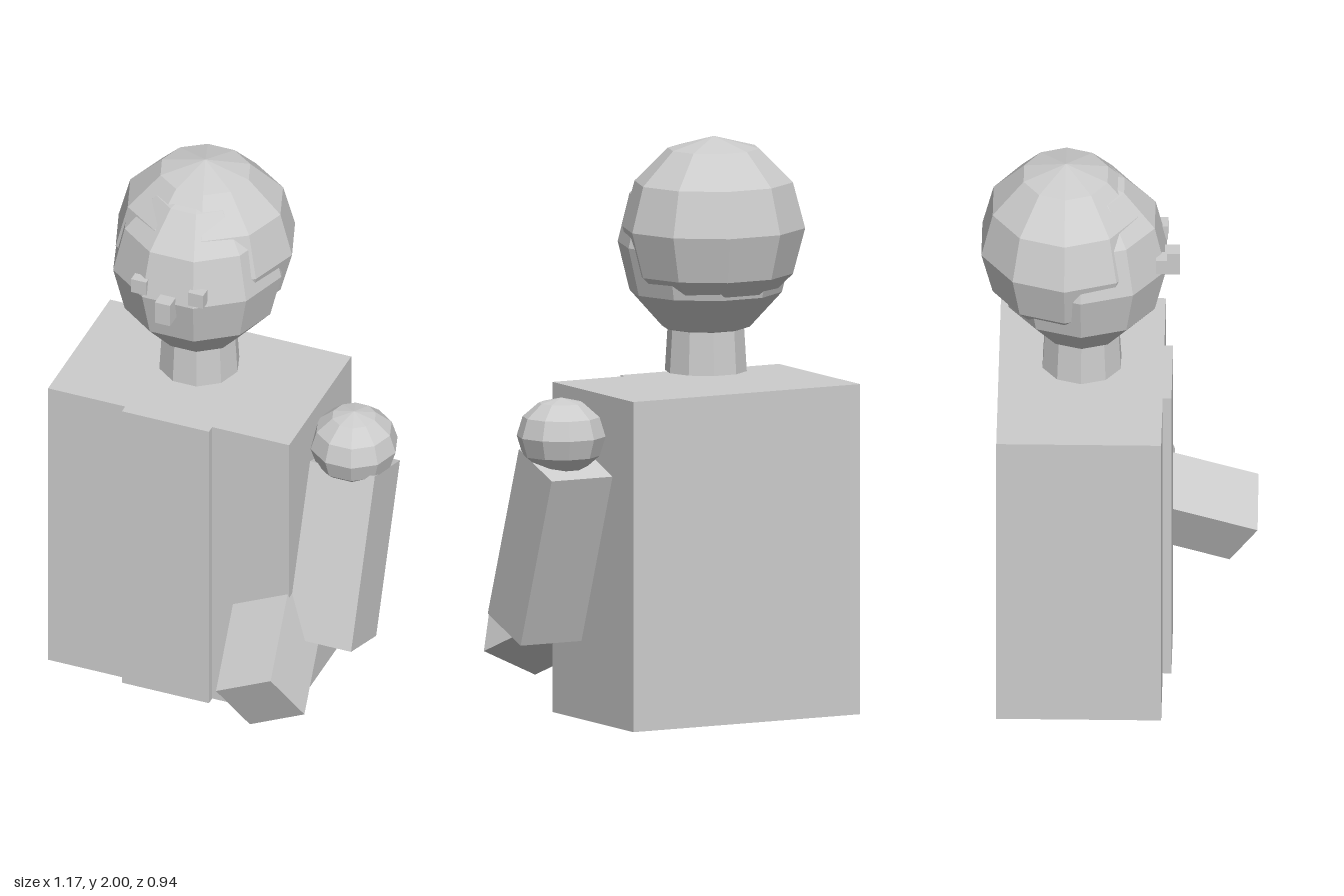
import * as THREE from 'three';

export function createModel() {
  const model = new THREE.Group();
  const grey = new THREE.MeshStandardMaterial({ color: 0xcccccc });
  grey.name = 'plain grey';

  const add = (name, geometry, x = 0, y = 0, z = 0) => {
    // separate corners give every facet its own flat normal
    const flat = geometry.index ? geometry.toNonIndexed() : geometry;
    flat.computeVertexNormals();
    const mesh = new THREE.Mesh(flat, grey);
    mesh.name = name;
    mesh.position.set(x, y, z);
    model.add(mesh);
    return mesh;
  };
  const box = (name, [x0, x1], [y0, y1], [z0, z1]) =>
    add(name, new THREE.BoxGeometry(x1 - x0, y1 - y0, z1 - z0),
      (x0 + x1) / 2, (y0 + y1) / 2, (z0 + z1) / 2);
  const ball = (name, rx, ry, rz, x, y, z) =>
    add(name, new THREE.SphereGeometry(1, 10, 6).scale(rx, ry, rz), x, y, z);

  // torso with a raised panel down the chest
  box('torso', [-0.585, 0.305], [0, 1.14], [-0.41, 0.154]);
  box('chestPanel', [-0.3, 0.021], [0, 1.14], [0.1, 0.184]);

  // neck, head and the hair shell set back over the head
  add('neck', new THREE.CylinderGeometry(0.13, 0.141, 0.18, 10).rotateY(Math.PI / 2), -0.14, 1.273, -0.125);
  ball('head', 0.303, 0.333, 0.303, -0.14, 1.625, -0.124);
  ball('hair', 0.32, 0.315, 0.302, -0.14, 1.685, -0.18);

  // face
  for (const side of [-1, 1]) {
    const x = -0.14 + side * 0.105;
    box(side < 0 ? 'rightEye' : 'leftEye', [x - 0.028, x + 0.028], [1.638, 1.692], [0.13, 0.168]);
  }
  box('nose', [-0.168, -0.112], [1.565, 1.65], [0.14, 0.21]);

  // left arm
  ball('shoulder', 0.153, 0.133, 0.153, 0.43, 0.997, -0.128);
  const upperArm = add('upperArm', new THREE.BoxGeometry(0.24, 0.632, 0.243), 0.424, 0.609, -0.042);
  upperArm.rotation.x = -THREE.MathUtils.degToRad(20);

  // forearm reaches forward, rolled about its own axis
  const length = 0.5;
  const across = new THREE.Vector3(0.901, 0.43, 0).normalize();
  const up = new THREE.Vector3(-0.383, 0.815, 0.437).normalize();
  const forward = new THREE.Vector3().crossVectors(across, up).normalize();
  const forearm = add('forearm', new THREE.BoxGeometry(0.223, 0.222, length));
  forearm.quaternion.setFromRotationMatrix(new THREE.Matrix4().makeBasis(across, up, forward));
  forearm.position.set(0.307, 0.236, 0.4215).addScaledVector(forward, -length / 2);

  return model;
}
